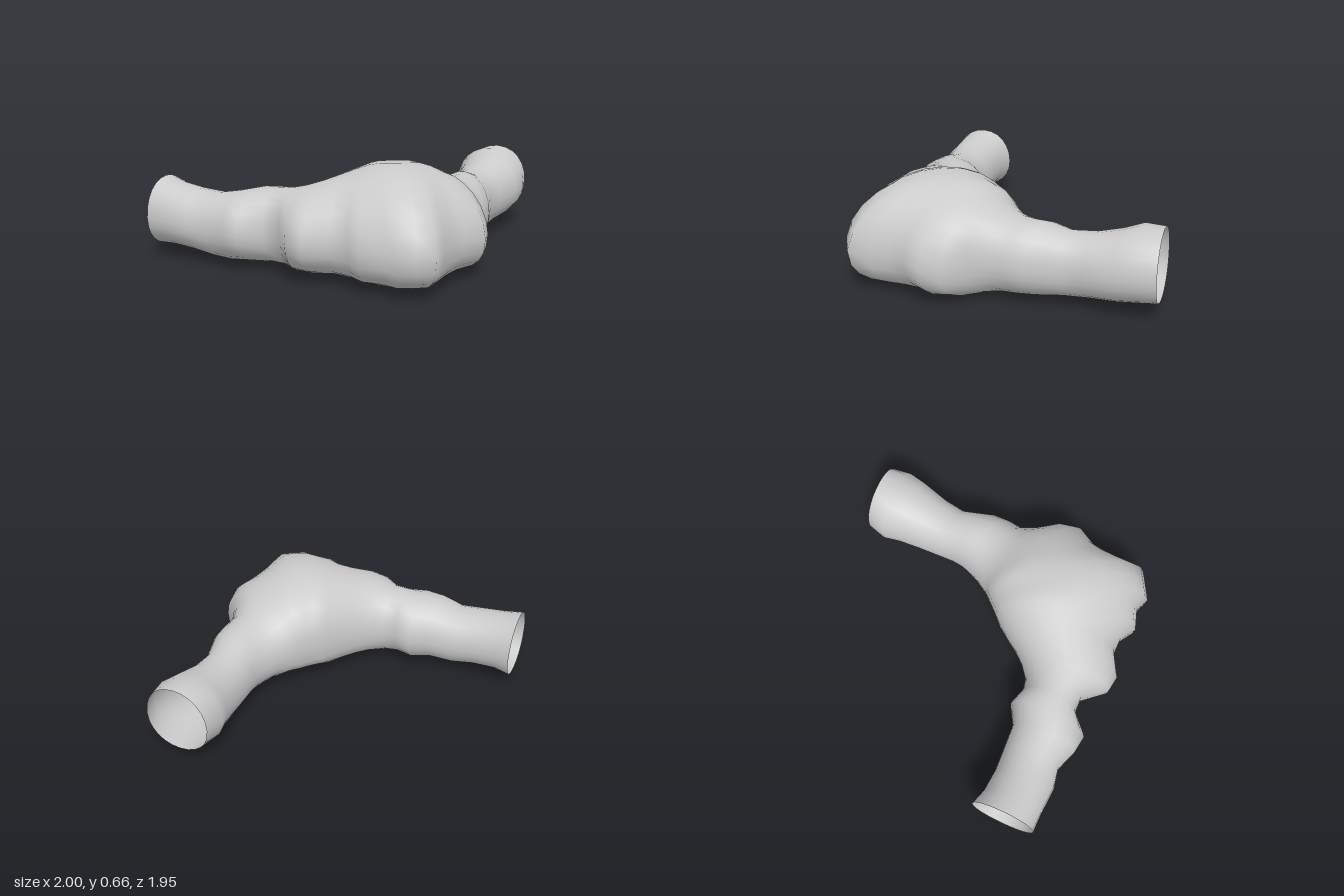
import * as THREE from 'three';

// Cross-sections: [inner x, inner z, outer x, outer z, bottom y, top y]
const leftArm = [
  [-1.00, 0.47, -1.00, 0.88, 0.06, 0.49],
  [-0.90, 0.50, -0.88, 0.88, 0.07, 0.46],
  [-0.75, 0.51, -0.70, 0.89, 0.06, 0.44],
  [-0.60, 0.50, -0.57, 0.865, 0.035, 0.43],
  [-0.44, 0.49, -0.43, 0.915, 0.035, 0.46],
  [-0.32, 0.42, -0.32, 0.93, 0.04, 0.485],
  [-0.21, 0.455, -0.21, 0.82, 0.04, 0.495],
  [-0.13, 0.44, -0.10, 0.815, 0.035, 0.50],
  [-0.04, 0.37, 0.02, 0.955, 0.03, 0.525],
  [0.03, 0.29, 0.13, 0.97, 0.03, 0.555],
  [0.09, 0.20, 0.27, 0.89, 0.025, 0.59],
];
const backArm = [
  [0.34, -0.09, 0.97, 0.24, 0.015, 0.55],
  [0.37, -0.14, 0.87, 0.13, 0.025, 0.515],
  [0.40, -0.20, 0.81, 0.01, 0.03, 0.49],
  [0.43, -0.28, 0.83, -0.10, 0.035, 0.485],
  [0.44, -0.36, 0.83, -0.20, 0.04, 0.48],
  [0.44, -0.45, 0.77, -0.42, 0.05, 0.44],
  [0.43, -0.60, 0.79, -0.55, 0.06, 0.45],
  [0.41, -0.75, 0.84, -0.74, 0.07, 0.49],
  [0.38, -0.85, 0.855, -0.85, 0.08, 0.53],
  [0.415, -0.975, 0.83, -0.975, 0.09, 0.53],
];
// Lumpy outer wall of the bend with crest heights: [x, z, top y];
// its sections fan out from the inner side
const bendWall = [
  [0.38, 0.89, 0.622], [0.48, 0.955, 0.642], [0.62, 0.91, 0.655], [0.71, 0.95, 0.658],
  [0.80, 0.90, 0.658], [0.89, 0.85, 0.655], [0.885, 0.72, 0.648], [0.89, 0.60, 0.635],
  [0.91, 0.49, 0.612], [0.995, 0.36, 0.58],
];

const SIDES = 24;
const squash = (v, p) => Math.sign(v) * Math.abs(v) ** p;

// Joins superellipse rings into one open-ended skin
function loft(sections) {
  const pos = [], index = [];
  const last = sections.length - 1;
  sections.forEach(([ix, iz, ox, oz, y0, y1], i) => {
    const prev = sections[Math.max(i - 1, 0)], next = sections[Math.min(i + 1, last)];
    // Wide sections are rounder above, fuller below, with the crest nearer the inner side
    const wide = THREE.MathUtils.smoothstep(Math.hypot(ox - ix, oz - iz), 0.45, 0.95);
    const yc = y0 + (y1 - y0) * (0.47 - 0.06 * wide);
    for (let j = 0; j < SIDES; j++) {
      const a = (j / SIDES) * Math.PI * 2;
      const c = Math.cos(a), s = Math.sin(a);
      const power = s > 0 ? 2 / 2.1 : 2 / (2.1 + 0.6 * wide);
      const h = squash(s, power);
      const t = 0.5 + 0.5 * squash(c, power) - 0.07 * wide * Math.max(h, 0);
      // Outer lumps fade out toward the top and bottom
      const lump = i === 0 || i === last ? 1 : Math.max(c, 0) ** 2;
      const ex = THREE.MathUtils.lerp((prev[2] + 2 * ox + next[2]) / 4, ox, lump);
      const ez = THREE.MathUtils.lerp((prev[3] + 2 * oz + next[3]) / 4, oz, lump);
      pos.push(ix + (ex - ix) * t, yc + h * (h > 0 ? y1 - yc : yc - y0), iz + (ez - iz) * t);
      if (i < last) {
        const k = (j + 1) % SIDES, r = i * SIDES, n = r + SIDES;
        index.push(r + j, n + j, r + k, n + j, n + k, r + k);
      }
    }
  });
  const geo = new THREE.BufferGeometry();
  geo.setAttribute('position', new THREE.Float32BufferAttribute(pos, 3));
  geo.setIndex(index);
  geo.computeVertexNormals();
  return geo;
}

export function createModel() {
  const group = new THREE.Group();
  group.name = 'bentTunnel';

  // Domed bend between the two arms
  const bend = bendWall.map(([x, z, top], i) => {
    const t = i / (bendWall.length - 1);
    return [0.15 + 0.17 * t, 0.12 - 0.18 * t, x, z, 0.015 - 0.015 * Math.sin(t * Math.PI), top];
  });

  // One continuous hollow skin, open at both ends
  const skin = new THREE.Mesh(
    loft([...leftArm, ...bend, ...backArm]),
    new THREE.MeshStandardMaterial({ color: 0xcccccc, side: THREE.DoubleSide })
  );
  skin.name = 'tunnelSkin';
  group.add(skin);
  return group;
}
